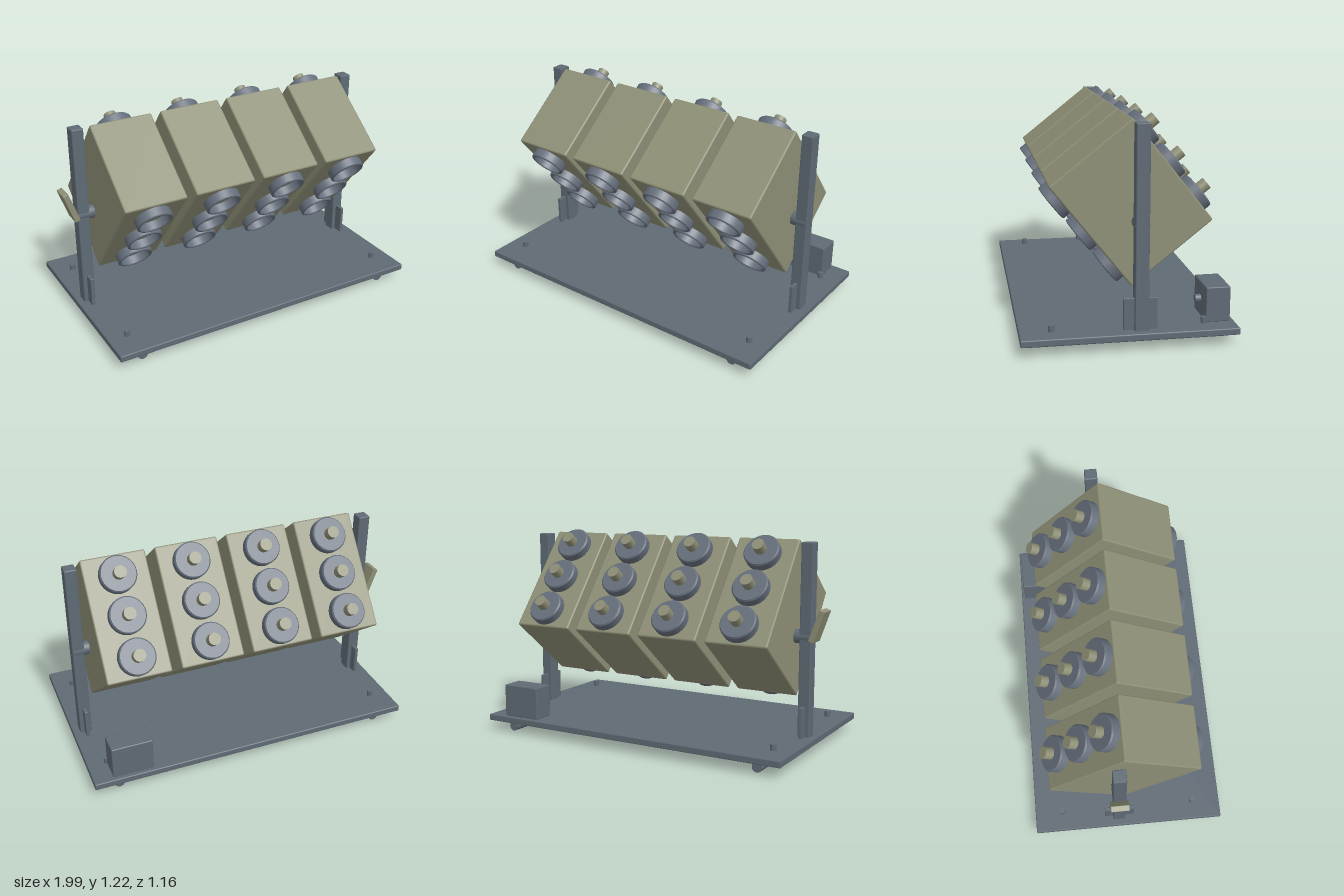
import * as THREE from 'three';
import { RoundedBoxGeometry } from 'three/addons/geometries/RoundedBoxGeometry.js';

const steel = new THREE.MeshStandardMaterial({ color: 0x5f6a74 });
steel.name = 'blue grey steel';
const khaki = new THREE.MeshStandardMaterial({ color: 0x8e8f76 });
khaki.name = 'khaki paint';
const cap = new THREE.MeshStandardMaterial({ color: 0x656e7b });
cap.name = 'cap grey';

function add(parent, name, geometry, material, x = 0, y = 0, z = 0) {
  const mesh = new THREE.Mesh(geometry, material);
  mesh.name = name;
  mesh.position.set(x, y, z);
  parent.add(mesh);
  return mesh;
}

const box = (w, h, d, bevel = 0.006) => new RoundedBoxGeometry(w, h, d, 1, bevel);
const rodZ = (r, length) => new THREE.CylinderGeometry(r, r, length, 24).rotateX(Math.PI / 2);

// Solid of revolution around z, with crisp edges: each profile segment gets its own points
function turned(points) {
  const profile = points.map(([r, z]) => new THREE.Vector2(r, z));
  return new THREE.LatheGeometry(profile, 32).rotateX(Math.PI / 2);
}

// One box-shaped launcher cell: three open muzzles in front, three capped ends behind
function createPod() {
  const pod = new THREE.Group();
  pod.name = 'launcherPod';
  add(pod, 'podBody', box(0.374, 0.7, 0.556, 0.01), khaki);
  const ring = turned([
    [0.088, 0], [0.088, 0.048], [0.088, 0.048], [0.092, 0.053], [0.092, 0.053],
    [0.1, 0.053], [0.1, 0.053], [0.105, 0.048], [0.105, 0.048], [0.105, 0],
  ].reverse());
  const disc = turned([
    [0.105, 0], [0.105, 0.045], [0.105, 0.045], [0.098, 0.053], [0.098, 0.053], [0, 0.053],
  ]);
  for (const y of [-0.232, 0, 0.232]) {
    add(pod, 'muzzleRing', ring, cap, 0, y, 0.278);
    add(pod, 'rearCap', disc, cap, 0, y, -0.278).rotation.y = Math.PI;
    add(pod, 'rearKnob', rodZ(0.035, 0.06), khaki, 0, y, -0.355);
  }
  return pod;
}

export function createModel() {
  const model = new THREE.Group();
  model.name = 'rocketLauncher';

  // Base plate on two skid rails, with locating pegs
  const mid = 0.022;
  add(model, 'basePlate', box(1.95, 0.038, 1.16), steel, mid, 0.079, 0);
  for (const side of [-1, 1]) {
    add(model, 'skidRail', rodZ(0.029, 1.065), steel, mid + side * 0.822, 0.03, 0);
    for (const z of [-0.41, 0.41]) {
      const peg = new THREE.CylinderGeometry(0.017, 0.017, 0.04, 16);
      add(model, 'peg', peg, steel, mid + side * 0.86, 0.112, z);
    }

    // Upright post with its foot gusset
    const x = mid - 0.002 + side * 0.9;
    add(model, 'post', box(0.07, 1.14, 0.074), steel, x, 0.62, -0.058);
    add(model, 'postGusset', box(0.02, 0.18, 0.18, 0.003), steel, x, 0.182, -0.055);
  }

  // Pivot axle and elevation handle
  const axle = new THREE.CylinderGeometry(0.04, 0.04, 1.86, 24).rotateZ(Math.PI / 2);
  add(model, 'axle', axle, steel, 0.015, 0.664, -0.058);
  const handle = add(model, 'handle', box(0.033, 0.188, 0.104, 0.003), khaki, -0.95, 0.732, -0.062);
  handle.rotation.z = 0.34;

  // Control box with a front button
  add(model, 'controlBox', box(0.24, 0.194, 0.134), steel, 0.765, 0.195, -0.488);
  add(model, 'controlButton', rodZ(0.023, 0.04), steel, 0.765, 0.195, -0.41);

  // Four pods tilted together
  const pods = new THREE.Group();
  pods.name = 'podRack';
  pods.position.set(0, 0.757, -0.022);
  pods.rotation.x = THREE.MathUtils.degToRad(38.4);
  for (let i = 0; i < 4; i++) {
    const pod = createPod();
    pod.position.x = -0.624 + i * 0.43;
    pods.add(pod);
  }
  model.add(pods);

  return model;
}
